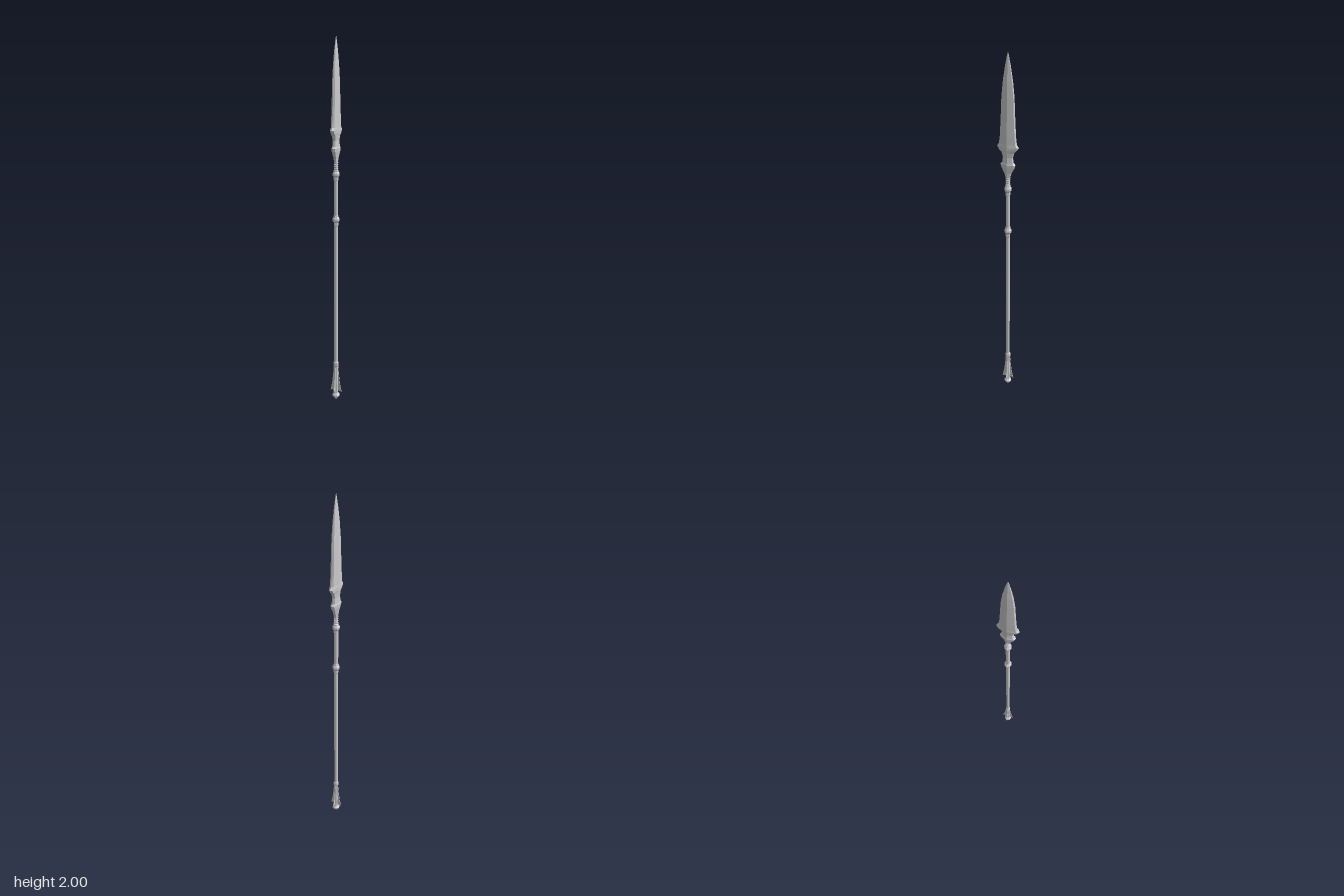
import * as THREE from 'three';

const grey = new THREE.MeshStandardMaterial({ color: 0xcccccc, flatShading: true, side: THREE.DoubleSide });
const smooth = new THREE.MeshStandardMaterial({ color: 0xcccccc });

function add(parent, name, geometry, material = grey) {
  const mesh = new THREE.Mesh(geometry, material);
  mesh.name = name;
  parent.add(mesh);
  return mesh;
}

// Turned part from [radius, height] pairs, bottom to top
function turned(points, sides = 8) {
  return new THREE.LatheGeometry(points.map(([r, y]) => new THREE.Vector2(r, y)), sides);
}

// Blade skinned over eight-sided sections: ridge on x, bevelled cutting edge on z
function bladeGeometry() {
  // [height, half width in z, half thickness in x]
  const sections = [
    [1.355, 0.011, 0.011], [1.385, 0.020, 0.014], [1.415, 0.036, 0.018], [1.43, 0.040, 0.019],
    [1.44, 0.031, 0.017], [1.47, 0.027, 0.015], [1.495, 0.034, 0.017], [1.51, 0.049, 0.019],
    [1.525, 0.058, 0.019], [1.54, 0.048, 0.018], [1.58, 0.043, 0.018], [1.68, 0.038, 0.016],
    [1.78, 0.034, 0.014], [1.86, 0.026, 0.011], [1.93, 0.015, 0.007], [1.975, 0.006, 0.003], [2.0, 0, 0],
  ];
  const ring = [[0, 1], [0.55, 0.88], [1, 0], [0.55, -0.88], [0, -1], [-0.55, -0.88], [-1, 0], [-0.55, 0.88]];
  const position = [], index = [], n = ring.length;
  for (const [y, w, t] of sections) for (const [x, z] of ring) position.push(x * t, y, z * w);
  for (let i = 0; i < sections.length - 1; i++) {
    for (let j = 0; j < n; j++) {
      const a = i * n + j, b = i * n + (j + 1) % n;
      index.push(a, b, b + n, a, b + n, a + n);
    }
  }
  const geometry = new THREE.BufferGeometry();
  geometry.setAttribute('position', new THREE.Float32BufferAttribute(position, 3));
  geometry.setIndex(index);
  geometry.computeVertexNormals();
  return geometry;
}

// Thin flared fin, drawn outward along +x
function finGeometry() {
  const shape = new THREE.Shape([
    [0.005, 0.23], [0.012, 0.225], [0.017, 0.16], [0.024, 0.10], [0.034, 0.053], [0.02, 0.06], [0.005, 0.05],
  ].map(([x, y]) => new THREE.Vector2(x, y)));
  const geometry = new THREE.ExtrudeGeometry(shape, { depth: 0.003, bevelEnabled: false });
  return geometry.translate(0, 0, -0.0015);
}

export function createModel() {
  const spear = new THREE.Group();
  spear.name = 'spear';

  // Shaft in two lengths
  add(spear, 'lowerShaft', new THREE.CylinderGeometry(0.0105, 0.0105, 0.84, 12).translate(0, 0.62, 0), smooth);
  add(spear, 'upperShaft', new THREE.CylinderGeometry(0.0115, 0.0115, 0.24, 12).translate(0, 1.15, 0), smooth);

  // Faceted collars
  const collar = [[0.0105, -0.035], [0.013, -0.03], [0.013, -0.015], [0.020, -0.004], [0.020, 0.006],
    [0.014, 0.016], [0.014, 0.022], [0.0105, 0.025]];
  for (const [name, y] of [['middleCollar', 1.048], ['upperCollar', 1.292]]) {
    add(spear, name, turned(collar)).position.y = y;
  }

  // Socket wrapped with rings
  add(spear, 'socket', new THREE.CylinderGeometry(0.009, 0.009, 0.07, 12).translate(0, 1.335, 0), smooth);
  for (let i = 0; i < 4; i++) {
    const ring = add(spear, 'socketRing', new THREE.TorusGeometry(0.0085, 0.004, 6, 12), smooth);
    ring.rotation.x = Math.PI / 2;
    ring.position.y = 1.322 + i * 0.011;
  }

  add(spear, 'blade', bladeGeometry());

  // Butt: ferrule, four fins and a stubby point
  add(spear, 'ferrule', turned([[0.012, 0.05], [0.014, 0.10], [0.012, 0.205], [0.015, 0.212],
    [0.015, 0.228], [0.0105, 0.235]]));
  const fins = new THREE.Group();
  fins.name = 'fins';
  spear.add(fins);
  for (let i = 0; i < 4; i++) add(fins, 'fin', finGeometry()).rotation.y = i * Math.PI / 2;
  add(spear, 'buttPoint', turned([[0, 0], [0.007, 0.008], [0.012, 0.018], [0.021, 0.024], [0.021, 0.032],
    [0.013, 0.042], [0.012, 0.055]]));

  return spear;
}
